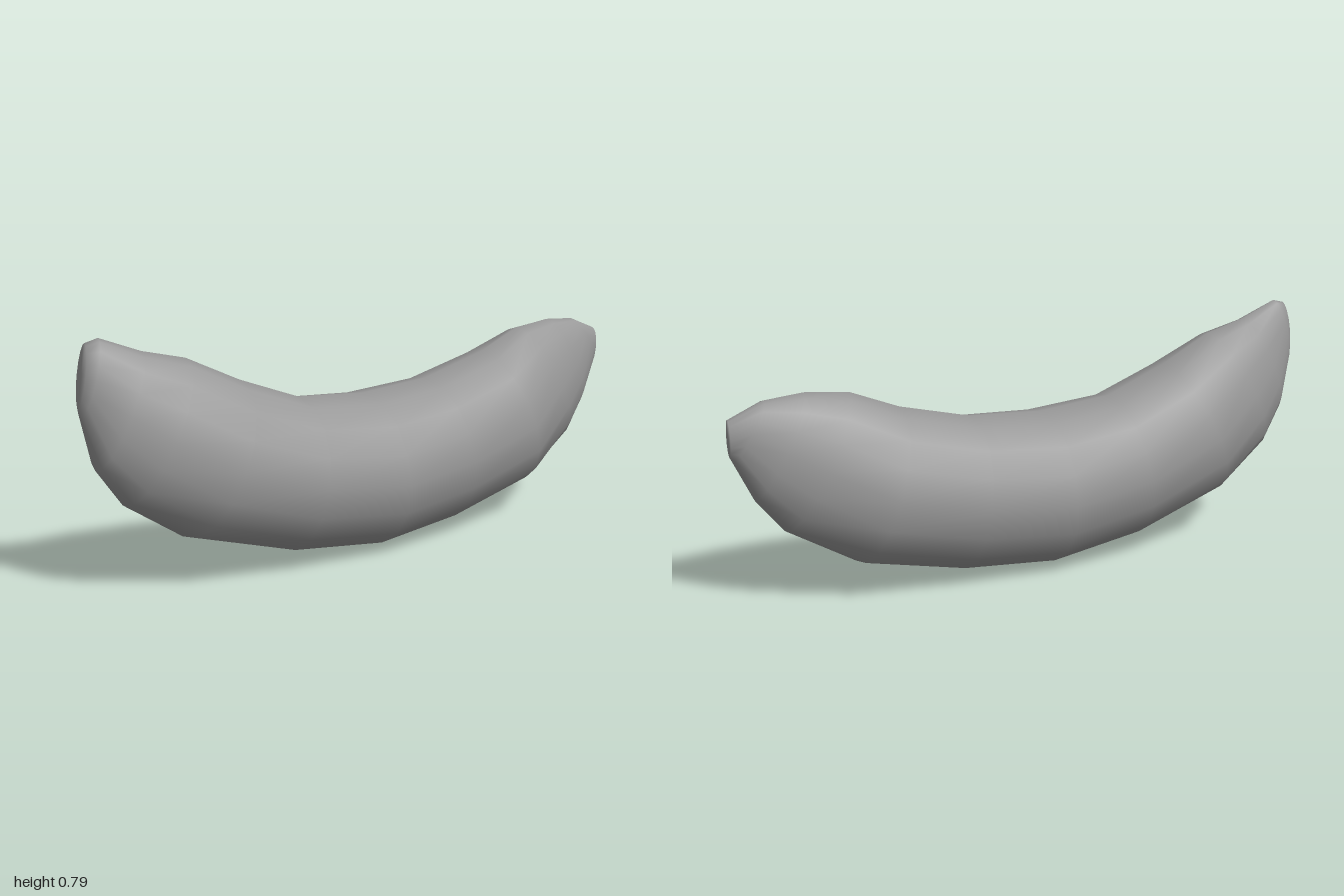
import * as THREE from 'three';

// Cross-sections from right end to left end: [topX, topY, bottomX, bottomY, halfWidth]
const SECTIONS = [
  [-0.97, 0.78, -1.0, 0.60, 0.03],
  [-0.93, 0.79, -0.995, 0.57, 0.05],
  [-0.80, 0.737, -0.96, 0.41, 0.094],
  [-0.66, 0.70, -0.88, 0.29, 0.148],
  [-0.48, 0.61, -0.69, 0.155, 0.21],
  [-0.27, 0.527, -0.35, 0.045, 0.23],
  [-0.02, 0.505, -0.02, 0.002, 0.255],
  [0.23, 0.52, 0.30, 0.03, 0.228],
  [0.47, 0.58, 0.63, 0.105, 0.207],
  [0.63, 0.645, 0.85, 0.24, 0.132],
  [0.77, 0.66, 0.935, 0.35, 0.087],
  [0.89, 0.65, 0.995, 0.48, 0.052],
  [1.0, 0.605, 1.0, 0.49, 0.024],
];
const SIDES = 16;

// Skins a row of upright elliptical rings and closes both ends
function loftRings(sections) {
  const positions = [];
  const index = [];
  for (const [tx, ty, bx, by, w] of sections) {
    for (let j = 0; j < SIDES; j++) {
      const a = (j / SIDES) * Math.PI * 2;
      const t = (1 + Math.cos(a)) / 2;
      positions.push(bx + (tx - bx) * t, by + (ty - by) * t, w * Math.sin(a));
    }
  }
  const last = sections.length - 1;
  for (let i = 0; i < last; i++) {
    for (let j = 0; j < SIDES; j++) {
      const k = (j + 1) % SIDES;
      const a = i * SIDES + j, b = i * SIDES + k;
      index.push(a, b, a + SIDES, b, b + SIDES, a + SIDES);
    }
  }
  // End caps
  for (const ring of [0, last]) {
    const [tx, ty, bx, by] = sections[ring];
    const centre = positions.length / 3;
    positions.push((tx + bx) / 2, (ty + by) / 2, 0);
    for (let j = 0; j < SIDES; j++) {
      const a = ring * SIDES + j, b = ring * SIDES + ((j + 1) % SIDES);
      if (ring === 0) index.push(centre, b, a);
      else index.push(centre, a, b);
    }
  }
  const geometry = new THREE.BufferGeometry();
  geometry.setAttribute('position', new THREE.Float32BufferAttribute(positions, 3));
  geometry.setIndex(index);
  geometry.computeVertexNormals();
  return geometry;
}

export function createModel() {
  const group = new THREE.Group();
  group.name = 'banana';
  // Curved body with pinched ends
  const body = new THREE.Mesh(loftRings(SECTIONS), new THREE.MeshStandardMaterial({ color: 0x999999 }));
  body.name = 'curvedBody';
  group.add(body);
  return group;
}
